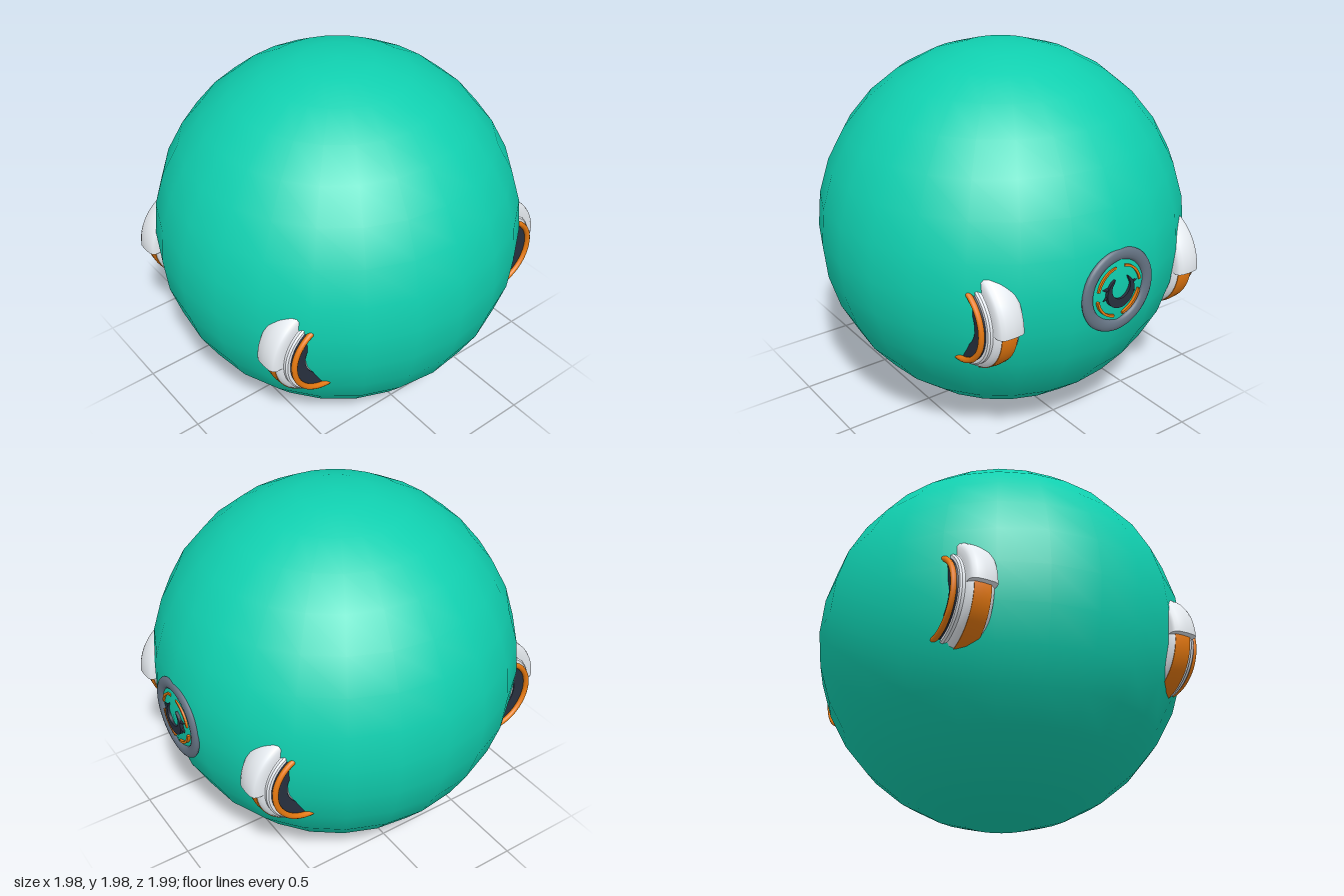
import * as THREE from 'three';
import { toCreasedNormals } from 'three/addons/utils/BufferGeometryUtils.js';

const paint = (color, side = THREE.FrontSide) => new THREE.MeshStandardMaterial({ color, side });
const teal = paint(0x10d0b0);
const white = paint(0xe6ebf0);
const orange = paint(0xe87a10);
const dark = paint(0x28303f);
const grey = paint(0x667484);

function add(parent, name, geometry, material, x = 0, y = 0, z = 0) {
  const mesh = new THREE.Mesh(geometry, material);
  mesh.name = name;
  mesh.position.set(x, y, z);
  parent.add(mesh);
  return mesh;
}

// Revolves [axial, radius] points about the x axis; angle 0 faces +z, negative angles go up
function spin(points, segments = 64, start = 0, length = Math.PI * 2) {
  const profile = points.map(([a, r]) => new THREE.Vector2(r, a));
  const g = new THREE.LatheGeometry(profile, segments, start, length);
  g.rotateZ(-Math.PI / 2);
  return toCreasedNormals(g, 0.7);
}

function makeWheel() {
  const wheel = new THREE.Group();
  wheel.name = 'wheel';

  // Rounded tyre with a stepped outer shoulder and recessed hub
  add(wheel, 'tyre', spin([
    [-0.075, 0.001], [-0.075, 0.225], [-0.068, 0.247], [-0.045, 0.264], [0, 0.268], [0.045, 0.264],
    [0.066, 0.251], [0.075, 0.236], [0.09, 0.236], [0.099, 0.228], [0.1, 0.2], [0.1, 0.125], [0.085, 0.11], [0.085, 0.001],
  ]), white);
  add(wheel, 'tyreStripe', spin([
    [-0.045, 0.26], [-0.045, 0.267], [0, 0.271], [0.045, 0.267], [0.045, 0.26],
  ]), orange);

  // Dark rim face and raised orange ring
  add(wheel, 'rimFace', spin([
    [0.09, 0.215], [0.11, 0.212], [0.112, 0.19], [0.106, 0.128], [0.085, 0.122],
  ]), dark);
  const ring = new THREE.TorusGeometry(0.203, 0.015, 10, 64).rotateY(Math.PI / 2);
  add(wheel, 'rimRing', ring, orange, 0.119);

  // Mudguard over the upper quarter, closed at its lower end
  const guard = [
    [-0.072, 0.24], [-0.072, 0.275], [-0.064, 0.291], [-0.045, 0.3], [0, 0.303],
    [0.045, 0.3], [0.064, 0.291], [0.074, 0.275], [0.074, 0.24], [-0.072, 0.24],
  ];
  add(wheel, 'mudguard', spin(guard, 32, -1.8, 1.8), white);
  const end = new THREE.Shape(guard.map(([a, r]) => new THREE.Vector2(a, r)));
  add(wheel, 'mudguardEnd', new THREE.ShapeGeometry(end).rotateX(Math.PI / 2), white);
  return wheel;
}

// Flat arc band between two radii
function bandShape(inner, outer, from, to) {
  const s = new THREE.Shape();
  s.absarc(0, 0, outer, from, to, false);
  s.absarc(0, 0, inner, to, from, true);
  return s;
}

function makeBadge() {
  const badge = new THREE.Group();
  badge.name = 'badge';
  const plate = (name, shape, depth, material, z) => add(badge, name,
    new THREE.ExtrudeGeometry(shape, { depth, bevelEnabled: false, curveSegments: 24 }), material, 0, 0, z);

  // Flattened outer ring
  const ring = new THREE.TorusGeometry(0.19, 0.032, 12, 48).scale(1, 1, 0.55);
  add(badge, 'badgeRing', ring, grey, 0, 0, 0.967);

  // Four thin arcs inside the ring
  for (let i = 0; i < 4; i++) {
    const a = i * Math.PI / 2 + 0.2;
    plate('badgeArc', bandShape(0.127, 0.139, a, a + Math.PI / 2 - 0.4), 0.022, orange, 0.962);
  }

  // Crescent opening upward, with small side spikes
  const crescent = new THREE.Shape();
  crescent.absarc(0, 0, 0.085, Math.PI * 0.66, Math.PI * 2.34, false);
  crescent.absarc(0, 0.022, 0.058, Math.PI * 0.22, Math.PI * 0.78, true);
  plate('crescent', crescent, 0.024, dark, 0.972);
  for (const s of [-1, 1]) {
    for (const [x, y, tilt] of [[0.073, -0.02, -0.5], [0.078, 0.03, 0.2]]) {
      const spike = new THREE.ConeGeometry(0.014, 0.04, 4).rotateZ(s * (tilt - Math.PI / 2));
      add(badge, 'spike', spike, dark, s * (x + 0.016), y, 0.982);
    }
  }
  badge.rotation.y = Math.PI;
  badge.position.y = 0.967;
  return badge;
}

export function createModel() {
  const model = new THREE.Group();
  model.name = 'sphereBody';

  // Main ball
  add(model, 'ball', new THREE.SphereGeometry(0.992, 24, 16), teal, 0, 1, 0);

  // Four half-sunken wheels, mirrored left/right and front/back
  for (const sx of [-1, 1]) {
    for (const sz of [-1, 1]) {
      const wheel = makeWheel();
      wheel.position.set(sx * 0.567, 0.86, sz * 0.6);
      wheel.scale.set(sx, 1, sz);
      model.add(wheel);
    }
  }

  // Round badge on the back
  model.add(makeBadge());
  return model;
}
